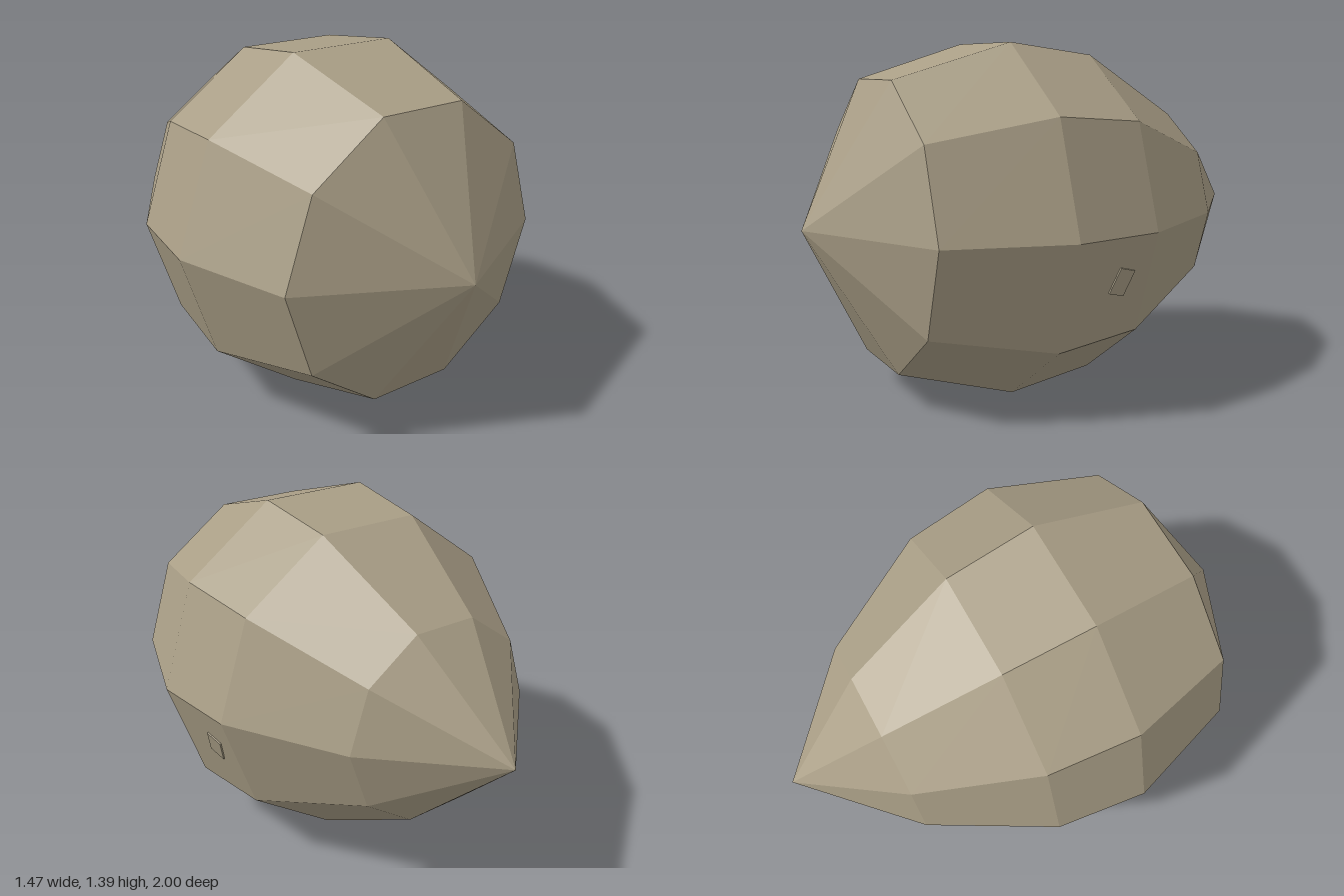
import * as THREE from 'three';

const CENTER_Y = 0.7;
// Rings along the long axis: [radius, z], from back tip to front tip
const RINGS = [[0, -1], [0.42, -0.6], [0.685, -0.135], [0.733, 0.235], [0.585, 0.7], [0, 1]];

function faceted(geometry) {
  const g = geometry.toNonIndexed();
  g.computeVertexNormals();
  return g;
}

export function createModel() {
  const model = new THREE.Group();
  model.name = 'pebble';
  const stone = new THREE.MeshStandardMaterial({ color: 0xa99e86 });
  stone.name = 'stone';

  // Ten-sided body, pointed at both ends
  const profile = RINGS.map(([r, z]) => new THREE.Vector2(r, z));
  const bodyGeometry = new THREE.LatheGeometry(profile, 10, Math.PI / 2);
  bodyGeometry.rotateX(Math.PI / 2);
  const body = new THREE.Mesh(faceted(bodyGeometry), stone);
  body.name = 'body';
  body.position.y = CENTER_Y;
  model.add(body);

  // Small chips set into the facets; angle is measured from +x
  function addChip(name, degrees, z, offset, roll, lift, width, height) {
    const a = THREE.MathUtils.degToRad(degrees);
    const i = RINGS.findIndex((ring) => ring[1] > z);
    const [r0, z0] = RINGS[i - 1];
    const [r1, z1] = RINGS[i];
    const slope = (r1 - r0) / (z1 - z0);
    const apothem = (r0 + slope * (z - z0)) * Math.cos(Math.PI / 10);
    const normal = new THREE.Vector3(Math.cos(a), Math.sin(a), -slope * Math.cos(Math.PI / 10)).normalize();
    const geometry = new THREE.BoxGeometry(width, height, 0.06);
    geometry.translate(0, 0, lift - 0.03);
    const chip = new THREE.Mesh(geometry, stone);
    chip.name = name;
    chip.position.set(
      apothem * Math.cos(a) - offset * Math.sin(a),
      CENTER_Y + apothem * Math.sin(a) + offset * Math.cos(a),
      z);
    chip.lookAt(chip.position.clone().add(normal));
    chip.rotateZ(roll);
    model.add(chip);
  }
  addChip('leftChip', -18, 0, 0.03, -0.28, 0.006, 0.078, 0.107);
  addChip('rightChip', 198, -0.34, 0, 0.3, 0.006, 0.07, 0.07);
  addChip('lowerChip', 234, 0.01, 0, 0.2, 0.036, 0.07, 0.07);

  return model;
}
